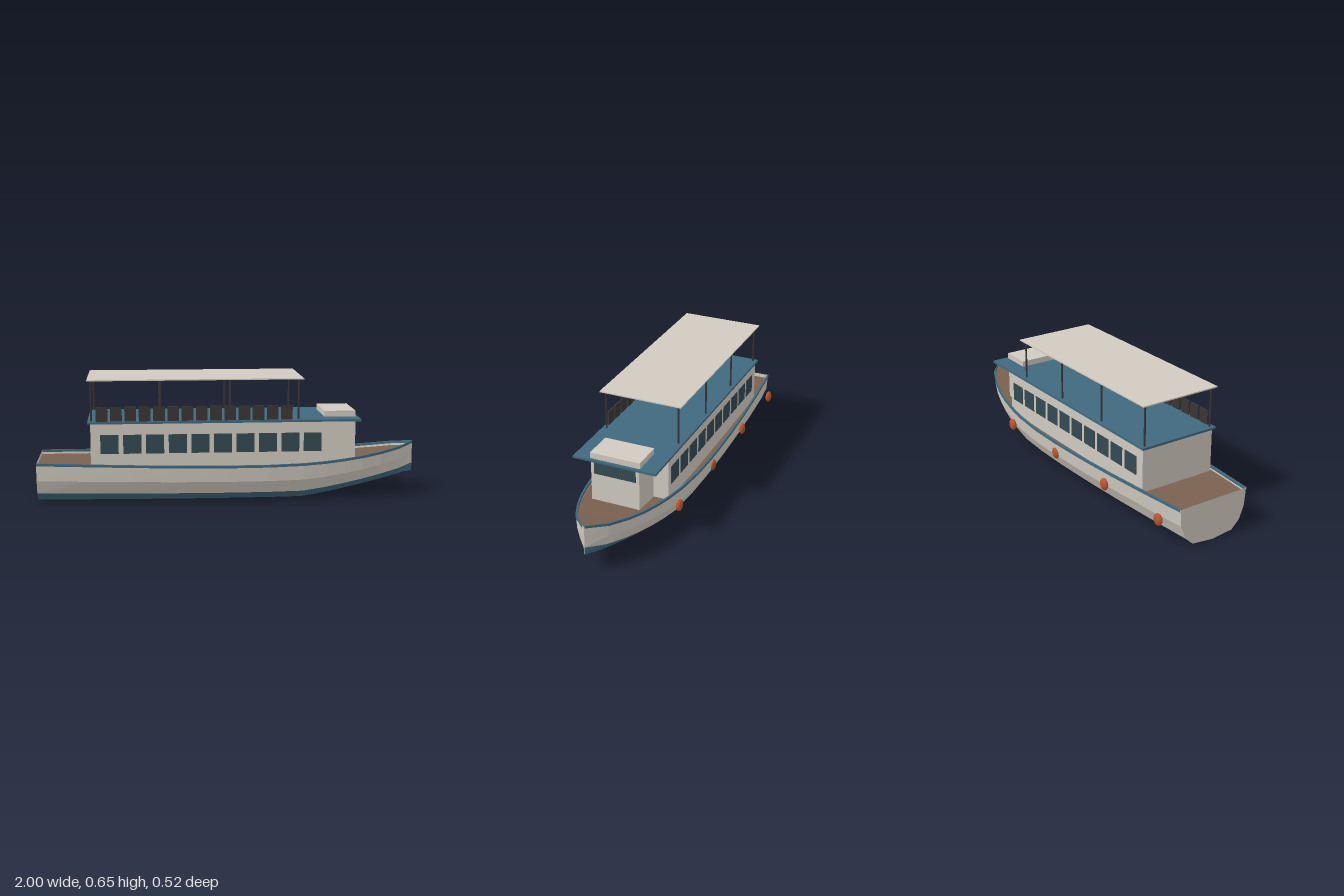
import * as THREE from 'three';

const mat = (name, color, side = THREE.FrontSide) => {
  const m = new THREE.MeshStandardMaterial({ color, side });
  m.name = name;
  return m;
};

// hull stations: x, half beam, keel height, sheer height
const stations = [
  [-1, .2, .003, .22], [-.75, .222, .003, .216], [-.5, .238, .003, .211], [-.25, .249, .003, .207],
  [0, .254, .003, .205], [.2, .25, .003, .205], [.38, .235, .003, .208], [.5, .217, .021, .214],
  [.6, .198, .04, .222], [.7, .173, .059, .232], [.8, .138, .079, .245], [.91, .087, .101, .263],
  [1, .003, .118, .279],
];
// half section from keel to sheer: share of beam, share of height
const section = [[0, 0], [.6, .06], [.83, .26], [.965, .58], [1, 1]];

// faceted surface through rows of [x, y, z] points
function loft(rows) {
  const pos = [];
  for (let i = 0; i < rows.length - 1; i++) {
    for (let j = 0; j < rows[i].length - 1; j++) {
      const a = rows[i][j], b = rows[i + 1][j], c = rows[i + 1][j + 1], d = rows[i][j + 1];
      pos.push(...a, ...b, ...c, ...a, ...c, ...d);
    }
  }
  const g = new THREE.BufferGeometry();
  g.setAttribute('position', new THREE.Float32BufferAttribute(pos, 3));
  g.computeVertexNormals();
  return g;
}

export function createModel() {
  const cream = mat('cream paint', 0xd0cabf);
  const creamShell = mat('cream hull', 0xd0cabf, THREE.DoubleSide);
  const blue = mat('blue paint', 0x40697f, THREE.DoubleSide);
  const brown = mat('brown deck', 0x7a6150, THREE.DoubleSide);
  const glass = mat('dark glass', 0x334a52);
  const dark = mat('dark metal', 0x3a3535);
  const orange = mat('orange fender', 0xb9542f);

  const model = new THREE.Group();
  const boat = new THREE.Group();
  boat.name = 'boat';
  boat.position.z = 0.003;
  model.add(boat);

  const add = (name, geometry, material) => {
    const m = new THREE.Mesh(geometry, material);
    m.name = name;
    boat.add(m);
    return m;
  };
  // box given by its limits on each axis
  const box = (name, material, x0, x1, y0, y1, z0, z1) => {
    const m = add(name, new THREE.BoxGeometry(x1 - x0, y1 - y0, z1 - z0), material);
    m.position.set((x0 + x1) / 2, (y0 + y1) / 2, (z0 + z1) / 2);
    return m;
  };

  // hull: full sections from the right sheer under the keel to the left sheer
  const rows = stations.map(([x, b, k, s]) => {
    const half = (sign) => section.map(([w, t]) => [x, k + t * (s - k), sign * w * b]);
    return [...half(-1).reverse(), ...half(1).slice(1)];
  });
  const band = (from, to) => loft(rows.map((r) => r.slice(from, to + 1)));
  add('rightTopside', band(0, 2), creamShell);
  add('leftTopside', band(6, 8), creamShell);
  add('hullBottom', band(2, 6), blue);

  // flat ends of the hull
  const bow = rows[rows.length - 1], stern = rows[0];
  const hub = (row) => row.map(() => [row[0][0], row[0][1], 0]);
  add('transom', loft([hub(stern), stern]), creamShell);
  add('stem', loft([bow, hub(bow)]), creamShell);

  // deck set a little below the sheer
  add('deck', loft(stations.map(([x, b, , s]) =>
    [[x, s - .022, b * .985], [x, s - .022, -b * .985]])), brown);

  // gunwale rails
  for (const sign of [1, -1]) {
    add(sign > 0 ? 'leftGunwale' : 'rightGunwale', loft(stations.map(([x, b, , s]) => {
      const out = sign * (b + .004), inn = sign * Math.max(b - .006, .001);
      const p = [[x, s - .011, out], [x, s + .002, out], [x, s + .002, inn], [x, s - .011, inn], [x, s - .011, out]];
      return sign > 0 ? p : p.reverse();
    })), blue);
  }

  // cabin, narrower wheelhouse and roof
  box('cabin', cream, -.72, .5, .17, .426, -.212, .212);
  box('wheelhouse', cream, .5, .664, .18, .426, -.13, .13);
  box('windshield', glass, .662, .668, .358, .425, -.112, .112);
  box('roof', blue, -.735, .676, .425, .437, -.223, .223);
  box('roofLocker', cream, .498, .662, .437, .468, -.134, .134);

  // side windows
  for (let i = 0; i < 10; i++) {
    const x = -.67 + i * .1165;
    box('leftWindow', glass, x, x + .093, .27, .368, .21, .215);
    box('rightWindow', glass, x, x + .093, .27, .368, -.215, -.21);
  }

  // row of seat backs along the left side of the upper deck
  for (let i = 0; i < 14; i++) {
    const x = -.662 + i * .0732;
    box('seatBack', dark, x - .03, x + .03, .437, .512, .202, .211);
  }

  // canopy on posts
  box('canopy', cream, -.735, .376, .646, .652, -.223, .223);
  for (const x of [-.715, -.36, -.003, .352]) {
    for (const z of [-.2, .2]) {
      const post = add('canopyPost', new THREE.CylinderGeometry(.005, .005, .21, 8), dark);
      post.position.set(x, .541, z);
    }
  }

  // fenders along the right side
  const fender = new THREE.SphereGeometry(1, 10, 8).toNonIndexed();
  fender.scale(.029, .032, .016);
  fender.computeVertexNormals();
  for (const x of [-.89, -.448, -.004, .44]) {
    add('fender', fender, orange).position.set(x, .135, -.245);
  }
  return model;
}
